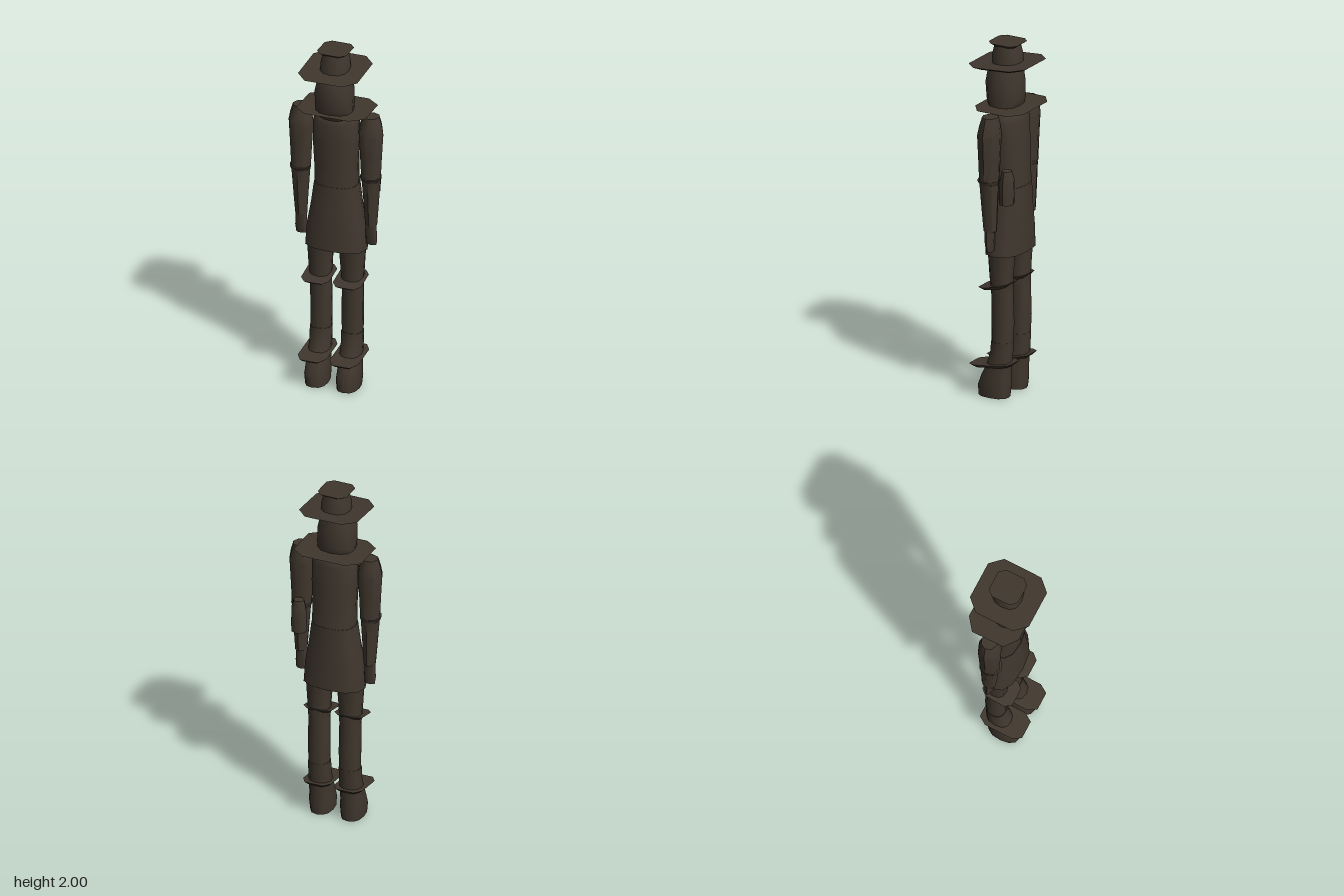
import * as THREE from 'three';
import { toCreasedNormals } from 'three/addons/utils/BufferGeometryUtils.js';

const darkBrown = new THREE.MeshStandardMaterial({ color: 0x40372e });

// Unit outlines: a chamfered rectangle for flat plates, round ones for limbs and body
const plate = [[1, 0.63], [0.63, 1], [-0.63, 1], [-1, 0.63], [-1, -0.63], [-0.63, -1], [0.63, -1], [1, -0.63]];
const round = (n, p = 1) => Array.from({ length: n }, (_, i) => {
  const a = (i / n) * Math.PI * 2;
  const bulge = (v) => Math.sign(v) * Math.pow(Math.abs(v) < 1e-6 ? 0 : Math.abs(v), p);
  return [bulge(Math.cos(a)), bulge(Math.sin(a))];
});
const limb = round(8);
const body = round(12, 0.8);

// Closed loft through rows [y, centreX, halfWidth, zBack, zFront]; slope tilts rows along z
function loft(name, outline, rows, { slope = 0, side = 1, crease = 0.8 } = {}) {
  const n = outline.length, pos = [], index = [];
  const push = ([y, cx, hx, z0, z1], u, v) => {
    const z = (z0 + z1) / 2 + (v * (z1 - z0)) / 2;
    pos.push(cx * side + u * hx, y + slope * z, z);
  };
  rows.forEach((r) => outline.forEach(([u, v]) => push(r, u, v)));
  push(rows[0], 0, 0);
  push(rows[rows.length - 1], 0, 0);
  const low = rows.length * n, high = low + 1, last = low - n;
  for (let i = 0; i < n; i++) {
    const j = (i + 1) % n;
    for (let k = 0; k < rows.length - 1; k++) {
      const a = k * n + i, b = k * n + j, c = a + n, d = b + n;
      index.push(a, c, b, b, c, d);
    }
    index.push(low, i, j, high, last + j, last + i);
  }
  const g = new THREE.BufferGeometry();
  g.setAttribute('position', new THREE.Float32BufferAttribute(pos, 3));
  g.setIndex(index);
  const mesh = new THREE.Mesh(toCreasedNormals(g, crease), darkBrown);
  mesh.name = name;
  return mesh;
}

// Thin flaring flange, narrower underneath
const flange = (name, y, cx, hx, z0, z1, thick, inset, opts) =>
  loft(name, plate, [
    [y - thick, cx, hx - inset, z0 + inset, z1 - inset],
    [y, cx, hx, z0, z1],
  ], { crease: 0.1, ...opts });

export function createModel() {
  const model = new THREE.Group();
  model.name = 'hattedFigure';

  // Head and hat
  model.add(
    loft('head', body, [
      [1.59, 0, 0.06, -0.05, 0.06], [1.62, 0, 0.102, -0.075, 0.088],
      [1.68, 0, 0.105, -0.09, 0.105], [1.77, 0, 0.104, -0.09, 0.113],
      [1.83, 0, 0.09, -0.085, 0.105], [1.87, 0, 0.08, -0.08, 0.09],
    ]),
    flange('hatBrim', 1.885, 0, 0.172, -0.178, 0.178, 0.02, 0.04, { slope: -0.07 }),
    loft('hatCrown', body, [
      [1.87, 0, 0.08, -0.085, 0.08], [1.93, 0, 0.078, -0.083, 0.078], [1.985, 0, 0.065, -0.07, 0.065],
    ]),
    flange('hatTop', 2, 0, 0.086, -0.091, 0.085, 0.022, 0.03),
  );

  // Collar and long coat
  model.add(
    flange('collar', 1.646, 0, 0.2, -0.175, 0.127, 0.025, 0.06),
    loft('coatUpper', body, [
      [1.2, 0, 0.124, -0.12, 0.07], [1.3, 0, 0.122, -0.115, 0.072], [1.45, 0, 0.13, -0.11, 0.076],
      [1.57, 0, 0.13, -0.105, 0.075], [1.6, 0, 0.12, -0.1, 0.07], [1.625, 0, 0.09, -0.08, 0.05],
    ]),
    loft('coatSkirt', body, [
      [0.82, 0, 0.178, -0.127, 0.087], [0.95, 0, 0.168, -0.126, 0.085],
      [1.08, 0, 0.143, -0.123, 0.078], [1.2, 0, 0.126, -0.122, 0.072],
    ]),
  );

  // Pouch behind the left hip
  model.add(loft('pouch', limb, [
    [1.14, 0.177, 0.044, -0.143, -0.06], [1.19, 0.177, 0.046, -0.145, -0.06],
    [1.28, 0.177, 0.044, -0.143, -0.065], [1.33, 0.177, 0.03, -0.13, -0.075],
  ]));

  for (const side of [1, -1]) {
    const o = { side };

    const arm = new THREE.Group();
    arm.name = side > 0 ? 'leftArm' : 'rightArm';
    arm.add(
      loft('upperArm', limb, [
        [1.26, 0.203, 0.057, -0.065, 0.048], [1.4, 0.203, 0.064, -0.07, 0.053],
        [1.53, 0.203, 0.072, -0.076, 0.058], [1.58, 0.203, 0.063, -0.07, 0.047],
        [1.63, 0.202, 0.049, -0.058, 0.032],
      ], o),
      loft('elbowBand', limb, [
        [1.247, 0.204, 0.052, -0.06, 0.045], [1.27, 0.204, 0.062, -0.068, 0.06],
      ], o),
      loft('forearm', limb, [
        [0.98, 0.203, 0.034, -0.053, 0.025], [1.1, 0.204, 0.043, -0.058, 0.035],
        [1.25, 0.204, 0.055, -0.062, 0.046],
      ], o),
      loft('hand', limb, [
        [0.86, 0.203, 0.03, -0.03, 0], [0.9, 0.204, 0.034, -0.036, 0.012], [0.985, 0.202, 0.032, -0.04, 0.02],
      ], o),
    );

    const leg = new THREE.Group();
    leg.name = side > 0 ? 'leftLeg' : 'rightLeg';
    leg.add(
      loft('thigh', body, [
        [0.6, 0.092, 0.058, -0.078, 0.034], [0.7, 0.093, 0.064, -0.08, 0.042], [0.85, 0.092, 0.073, -0.09, 0.052],
      ], o),
      flange('kneeFlange', 0.642, 0.092, 0.082, -0.085, 0.097, 0.018, 0.02, { side, slope: -0.22 }),
      loft('shin', body, [
        [0.3, 0.091, 0.057, -0.078, 0.03], [0.42, 0.091, 0.058, -0.085, 0.032], [0.62, 0.092, 0.057, -0.078, 0.033],
      ], o),
      loft('boot', body, [
        [0, 0.091, 0.06, -0.063, 0.115], [0.06, 0.092, 0.065, -0.07, 0.118], [0.12, 0.092, 0.062, -0.068, 0.095],
        [0.18, 0.091, 0.06, -0.073, 0.065], [0.25, 0.091, 0.06, -0.077, 0.04], [0.32, 0.091, 0.06, -0.08, 0.033],
      ], o),
      flange('ankleFlange', 0.194, 0.092, 0.083, -0.1, 0.155, 0.018, 0.02, { side, slope: -0.12 }),
    );

    model.add(arm, leg);
  }
  return model;
}
